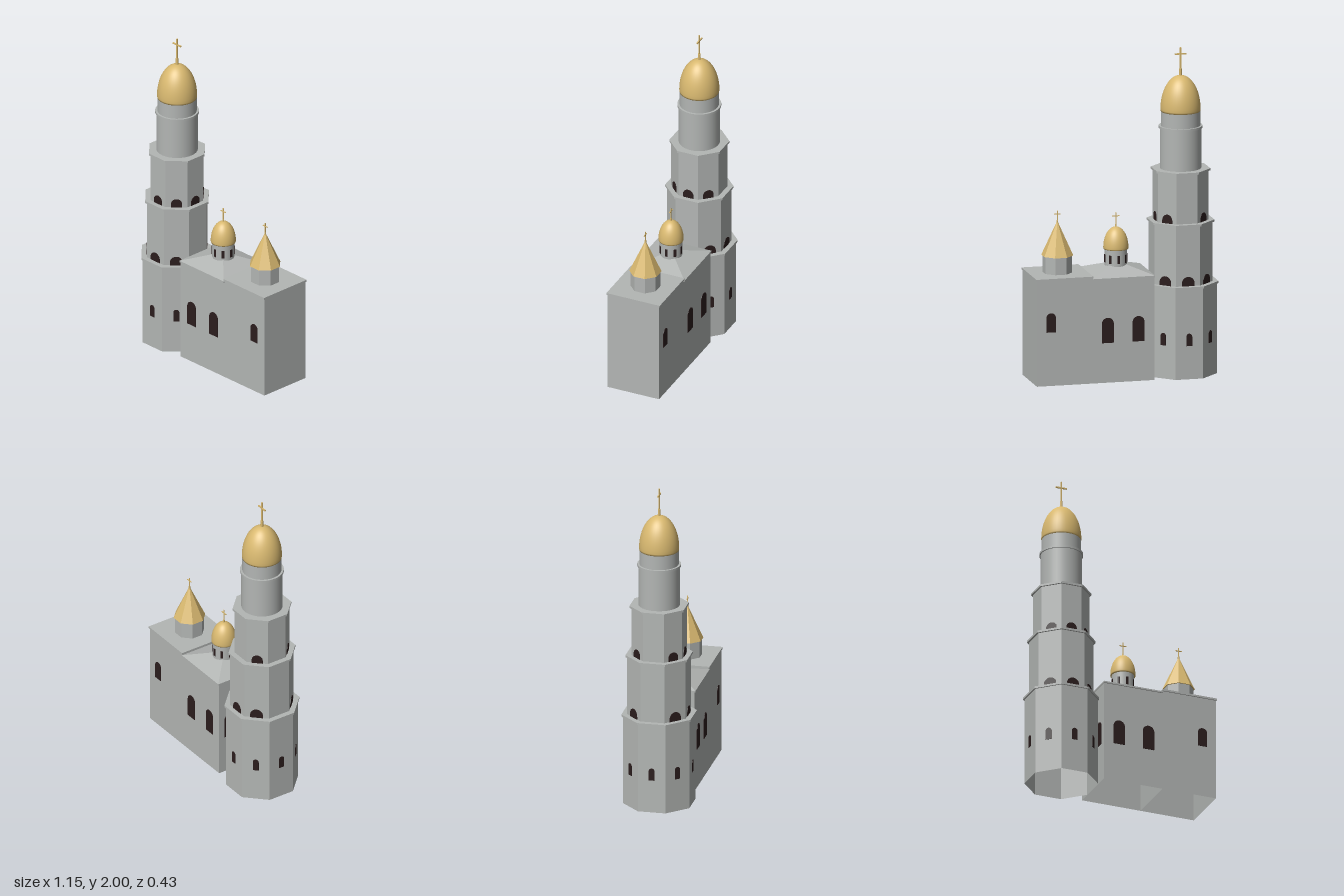
import * as THREE from 'three';

const material = (name, color, side = THREE.FrontSide) => {
  const m = new THREE.MeshStandardMaterial({ color, side });
  m.name = name;
  return m;
};

export function createModel() {
  const stone = material('grey stone', 0xb3b6b4, THREE.DoubleSide);
  const gold = material('gold', 0xd9b970);
  const dark = material('dark window', 0x2b1d1d);
  const model = new THREE.Group();
  model.name = 'church';

  function group(name, x) {
    const g = new THREE.Group();
    g.name = name;
    g.position.x = x;
    model.add(g);
    return g;
  }
  function add(parent, name, geo, mat, x = 0, y = 0, z = 0) {
    const m = new THREE.Mesh(geo, mat);
    m.name = name;
    m.position.set(x, y, z);
    parent.add(m);
    return m;
  }
  const flat = (geo) => {
    const g = geo.toNonIndexed();
    g.computeVertexNormals();
    return g;
  };

  // Eight-sided prism with a flat side to the front; a is centre to flat side
  const octagon = (aBottom, aTop, h, open) => {
    const k = 1 / Math.cos(Math.PI / 8);
    const g = new THREE.CylinderGeometry(aTop * k, aBottom * k, h, 8, 1, open);
    return flat(g.rotateY(Math.PI / 8).translate(0, h / 2, 0));
  };
  const drum = (r, h, open) =>
    new THREE.CylinderGeometry(r, r, h, 40, 1, open).translate(0, h / 2, 0);
  const block = (w, h, d) => new THREE.BoxGeometry(w, h, d).translate(0, h / 2, 0);

  // Four walls without floor or ceiling
  const walls = (w, h, d) => {
    const g = new THREE.CylinderGeometry(Math.SQRT1_2, Math.SQRT1_2, h, 4, 1, true);
    return flat(g.rotateY(Math.PI / 4).scale(w, 1, d).translate(0, h / 2, 0));
  };

  // Round-headed opening as a thin plate, sill at y = 0, facing +z
  const arch = (w, h) => {
    const s = new THREE.Shape();
    s.moveTo(-w / 2, 0);
    s.lineTo(w / 2, 0);
    s.lineTo(w / 2, h - w / 2);
    s.absarc(0, h - w / 2, w / 2, 0, Math.PI, false);
    s.lineTo(-w / 2, 0);
    return new THREE.ExtrudeGeometry(s, { depth: 0.004, bevelEnabled: false, curveSegments: 8 })
      .translate(0, 0, -0.001);
  };
  // Windows around a tower, on the eighths of a turn listed (0 = front, 2 = +x)
  function ring(parent, name, sides, radius, y, w, h) {
    for (const i of sides) {
      const a = i * Math.PI / 4;
      const m = add(parent, name, arch(w, h), dark, Math.sin(a) * radius, y, Math.cos(a) * radius);
      m.rotation.y = a;
    }
  }

  // Rounded dome: slight bulge above the rim, closed underneath
  const dome = (r, h) => {
    const pts = [new THREE.Vector2(0, 0), new THREE.Vector2(r * 0.985, 0)];
    for (let i = 0; i <= 18; i++) {
      const t = i / 18 * Math.PI / 2;
      pts.push(new THREE.Vector2(i === 18 ? 0 : r * Math.cos(t), h * (0.05 + 0.95 * Math.sin(t))));
    }
    return new THREE.LatheGeometry(pts, 40);
  };
  function cross(parent, y, h, r, barY, half, collar) {
    add(parent, 'crossCollar', drum(r * 2.1, collar, false), gold, 0, y - 0.01, 0);
    add(parent, 'crossPost', block(r * 2, h, r * 2), gold, 0, y, 0);
    add(parent, 'crossBar', block(half * 2, r * 2, r * 2), gold, 0, barY - r, 0);
  }

  // Bell tower: three eight-sided tiers
  const tower = group('bellTower', -0.367);
  const tiers = [
    { y: 0, top: 0.555, a: 0.205, lip: 0.213, sill: 0.205, w: 0.036, h: 0.076, sides: [0, 1, 3, 4, 5, 6, 7] },
    { y: 0.568, top: 0.933, a: 0.18, lip: 0.19, sill: 0.568, w: 0.078, h: 0.057, sides: [0, 1, 3, 4, 5, 7] },
    { y: 0.946, top: 1.248, a: 0.157, lip: 0.167, sill: 0.946, w: 0.068, h: 0.054, sides: [0, 1, 2, 3, 5, 7] },
  ];
  for (const t of tiers) {
    add(tower, 'towerTier', octagon(t.a, t.a, t.top - t.y, true), stone, 0, t.y, 0);
    add(tower, 'towerCornice', octagon(t.lip, t.lip, 0.013, false), stone, 0, t.top, 0);
    ring(tower, 'towerWindow', t.sides, t.a, t.sill, t.w, t.h);
  }
  // Round upper stage, dome and cross
  add(tower, 'roundStage', drum(0.125, 0.25, true), stone, 0, 1.26, 0);
  add(tower, 'roundCornice', drum(0.132, 0.014, false), stone, 0, 1.508, 0);
  add(tower, 'domeDrum', drum(0.119, 0.092, true), stone, 0, 1.52, 0);
  add(tower, 'towerDome', dome(0.121, 0.22), gold, 0, 1.61, 0);
  cross(tower, 1.825, 0.175, 0.004, 1.96, 0.035, 0.055);

  // Nave with hipped roof, drum and small dome
  const nave = group('nave', 0.031);
  add(nave, 'naveWalls', walls(0.382, 0.635, 0.34), stone);
  add(nave, 'naveEaves', block(0.386, 0.01, 0.354), stone, 0, 0.634, 0);
  const hip = new THREE.ConeGeometry(Math.SQRT1_2, 0.066, 4, 1, true)
    .rotateY(Math.PI / 4).scale(0.386, 1, 0.354);
  add(nave, 'naveRoof', flat(hip), stone, 0, 0.677, 0);
  add(nave, 'naveDrum', drum(0.068, 0.125, true), stone, 0.004, 0.665, 0);
  const lantern = new THREE.Group();
  lantern.name = 'lantern';
  lantern.position.x = 0.004;
  nave.add(lantern);
  for (let i = 0; i < 8; i++) {
    const a = i * Math.PI / 4;
    const m = add(lantern, 'drumWindow', new THREE.BoxGeometry(0.016, 0.05, 0.005), dark,
      Math.sin(a) * 0.0675, 0.728, Math.cos(a) * 0.0675);
    m.rotation.y = a;
  }
  add(lantern, 'naveDome', dome(0.076, 0.135), gold, 0, 0.785, 0);
  cross(lantern, 0.915, 0.092, 0.0025, 0.985, 0.022, 0.03);

  // East block with flat roof, eight-sided drum and spire
  const east = group('eastBlock', 0.396);
  add(east, 'eastWalls', walls(0.348, 0.65, 0.34), stone);
  add(east, 'eastRoof', block(0.354, 0.012, 0.354), stone, 0.002, 0.648, 0);
  add(east, 'spireDrum', octagon(0.083, 0.083, 0.107, true), stone, 0.003, 0.66, 0);
  add(east, 'spire', octagon(0.09, 0.001, 0.21, false), gold, 0.003, 0.765, 0);
  const spireCross = new THREE.Group();
  spireCross.name = 'spireCross';
  spireCross.position.x = 0.003;
  east.add(spireCross);
  cross(spireCross, 0.96, 0.078, 0.0025, 1.018, 0.02, 0.03);

  // Tall windows on the front and back walls
  for (const s of [1, -1]) {
    const rows = [[-0.061, 0.245, 0.074, 0.155], [0.13, 0.245, 0.074, 0.155], [0.482, 0.33, 0.059, 0.118]];
    for (const [x, y, w, h] of rows) {
      const m = add(model, 'wallWindow', arch(w, h), dark, x, y, s * 0.17);
      m.rotation.y = s > 0 ? 0 : Math.PI;
    }
    // West wall pair beside the tower
    const m = add(model, 'westWindow', arch(0.074, 0.155), dark, -0.16, 0.245, s * 0.095);
    m.rotation.y = -Math.PI / 2;
  }
  return model;
}
